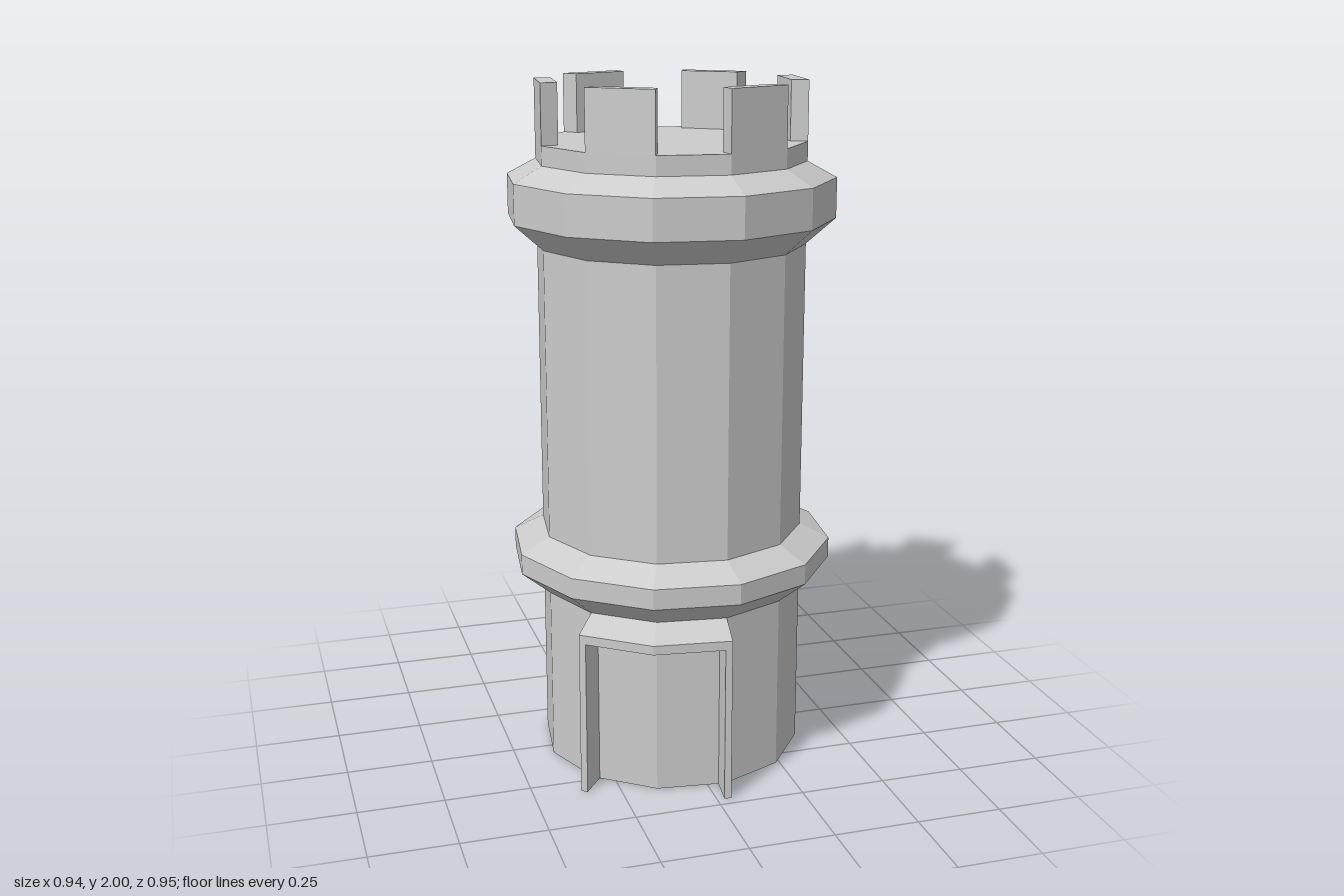
import * as THREE from 'three';

const SIDES = 12;
const STEP = (Math.PI * 2) / SIDES;
const START = THREE.MathUtils.degToRad(7.8); // turn of the twelve-sided plan
const R = 0.389;                             // shaft radius

const material = new THREE.MeshStandardMaterial({ color: 0xcccccc, flatShading: true });

// Plan point [x, z] at a corner index and radius
const corner = (i, r) => {
  const a = START + i * STEP;
  return [r * Math.sin(a), r * Math.cos(a)];
};

// Six-sided block from four plan corners [x, z], each with a bottom and a top height
function block(name, plan, bottoms, tops) {
  const pos = [];
  for (const heights of [bottoms, tops]) {
    plan.forEach(([x, z], i) => pos.push(x, heights[i], z));
  }
  const index = [4, 5, 6, 4, 6, 7, 0, 2, 1, 0, 3, 2];
  for (let i = 0; i < 4; i++) {
    const j = (i + 1) % 4;
    index.push(i, j, j + 4, i, j + 4, i + 4);
  }
  const indexed = new THREE.BufferGeometry();
  indexed.setAttribute('position', new THREE.Float32BufferAttribute(pos, 3));
  indexed.setIndex(index);
  const geometry = indexed.toNonIndexed();
  geometry.computeVertexNormals();
  const mesh = new THREE.Mesh(geometry, material);
  mesh.name = name;
  return mesh;
}

// Shaft with both flared collars and the flat roof floor
function createTower() {
  const profile = [
    [0, 0], [R, 0],
    [R, 0.52], [0.476, 0.592], [0.476, 0.652], [R, 0.695],
    [R, 1.54], [0.473, 1.615], [0.473, 1.73], [R, 1.775],
    [R, 1.83], [0, 1.83],
  ].map(([x, y]) => new THREE.Vector2(x, y));
  const mesh = new THREE.Mesh(new THREE.LatheGeometry(profile, SIDES, START), material);
  mesh.name = 'tower';
  return mesh;
}

// A merlon on every second side of the parapet
function createBattlements() {
  const group = new THREE.Group();
  group.name = 'battlements';
  const inner = R - 0.05;
  for (let i = 0; i < SIDES; i += 2) {
    const plan = [corner(i, R), corner(i + 1, R), corner(i + 1, inner), corner(i, inner)];
    group.add(block('merlon', plan, Array(4).fill(1.83), Array(4).fill(2)));
  }
  return group;
}

// Porch folded around two sides of the shaft: sloping roof and two thin walls
function createPorch() {
  const group = new THREE.Group();
  group.name = 'porch';
  const depth = 0.09, thick = 0.02;
  const eave = 0.487, ridge = 0.52, slab = 0.027;

  const move = ([x, z], angle, d) => [x + Math.sin(angle) * d, z + Math.cos(angle) * d];
  const base = [-2, -1, 0].map((i) => corner(i, R));
  const normals = [START - 1.5 * STEP, START - 0.5 * STEP]; // facing of each side
  const outer = [
    move(base[0], normals[0], depth),
    move(base[1], START - STEP, depth / Math.cos(STEP / 2)),
    move(base[2], normals[1], depth),
  ];

  for (let i = 0; i < 2; i++) {
    group.add(block('porchRoof',
      [outer[i], outer[i + 1], base[i + 1], base[i]],
      [eave - slab, eave - slab, ridge - slab, ridge - slab],
      [eave, eave, ridge, ridge]));
  }

  const wallTops = [eave - slab, eave - slab, ridge - slab, ridge - slab];
  const along = Math.PI / 2; // turns a side's facing to its run
  const wall = (name, a, b, run, d) => {
    const a2 = move(a, run, d), b2 = move(b, run, d);
    const plan = d > 0 ? [a, a2, b2, b] : [a2, a, b, b2];
    group.add(block(name, plan, [0, 0, 0, 0], wallTops));
  };
  wall('rightPorchWall', outer[0], base[0], normals[0] + along, thick);
  wall('leftPorchWall', outer[2], base[2], normals[1] + along, -thick);
  return group;
}

export function createModel() {
  const model = new THREE.Group();
  model.name = 'castleTower';
  const body = new THREE.Group();
  body.name = 'towerBody';
  body.add(createTower(), createBattlements(), createPorch());
  body.position.z = -0.003;
  model.add(body);
  return model;
}
